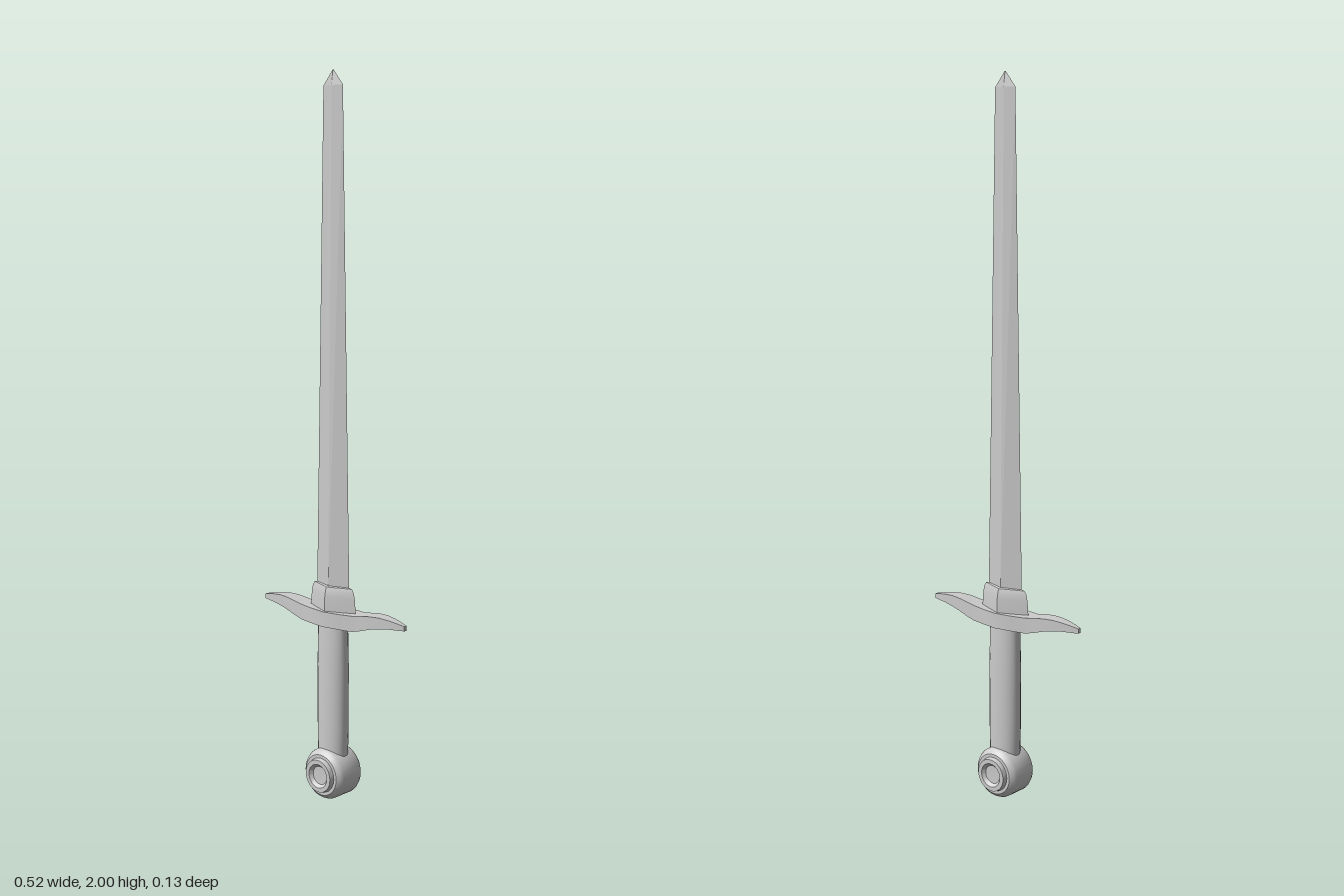
import * as THREE from 'three';
import { toCreasedNormals } from 'three/addons/utils/BufferGeometryUtils.js';

const material = new THREE.MeshStandardMaterial({ color: 0xcccccc });

// Skin a list of rings (each a loop of [x, y, z]) and close both ends.
function loft(rings, crease) {
  const n = rings[0].length, index = [];
  const points = rings.flat();
  for (let i = 0; i < rings.length - 1; i++) {
    for (let j = 0; j < n; j++) {
      const a = i * n + j, b = i * n + (j + 1) % n;
      index.push(a, b, b + n, a, b + n, a + n);
    }
  }
  const last = (rings.length - 1) * n;
  for (let j = 1; j < n - 1; j++) {
    index.push(0, j + 1, j, last, last + j, last + j + 1);
  }
  const geometry = new THREE.BufferGeometry();
  geometry.setAttribute('position', new THREE.Float32BufferAttribute(points.flat(), 3));
  geometry.setIndex(index);
  return toCreasedNormals(geometry, crease);
}

// Horizontal cross-sections with half sizes w (x) and d (z).
const diamond = (y, w, d) => [[w, y, 0], [0, y, -d], [-w, y, 0], [0, y, d]];

function ellipse(y, w, d, n = 24) {
  return Array.from({ length: n }, (_, i) => {
    const a = (i / n) * Math.PI * 2;
    return [w * Math.cos(a), y, -d * Math.sin(a)];
  });
}

export function createModel() {
  const group = new THREE.Group();
  const add = (name, geometry) => {
    const mesh = new THREE.Mesh(geometry, material);
    mesh.name = name;
    group.add(mesh);
  };

  // Tapering blade with a central ridge and a short point
  add('blade', loft([
    diamond(0.54, 0.061, 0.021),
    diamond(0.61, 0.06, 0.02),
    diamond(1.96, 0.035, 0.006),
    diamond(2.0, 0.002, 0.001),
  ], 0.1));

  // Collar at the root of the blade, rounded in at the top
  add('collar', loft([
    diamond(0.53, 0.085, 0.036),
    diamond(0.58, 0.081, 0.034),
    diamond(0.598, 0.077, 0.031),
    diamond(0.608, 0.07, 0.028),
    diamond(0.61, 0.062, 0.023),
  ], 0.45));

  // Crossguard: half stations of [x, bottom y, top y, half depth], mirrored
  const half = [
    [0, 0.498, 0.541, 0.044], [0.05, 0.498, 0.541, 0.036],
    [0.095, 0.498, 0.542, 0.027], [0.125, 0.506, 0.547, 0.0255],
    [0.155, 0.515, 0.551, 0.023], [0.185, 0.521, 0.552, 0.019],
    [0.215, 0.525, 0.549, 0.0145], [0.24, 0.526, 0.545, 0.01],
    [0.262, 0.527, 0.54, 0.005],
  ];
  const mirrored = half.slice(1).reverse().map(([x, ...rest]) => [-x, ...rest]);
  add('crossguard', loft([...mirrored, ...half].map(([x, b, t, d]) =>
    [[x, b, -d], [x, t, -d], [x, t, d], [x, b, d]]), 0.5));

  // Oval grip
  add('grip', loft([
    ellipse(0.1, 0.047, 0.034),
    ellipse(0.2, 0.05, 0.034),
    ellipse(0.38, 0.051, 0.033),
    ellipse(0.51, 0.049, 0.03),
  ], 0.6));

  // Wheel pommel: bevelled drum with a raised, dished boss on each face
  const side = [
    [0, 0.053], [0.026, 0.054], [0.034, 0.063], [0.046, 0.063],
    [0.049, 0.05], [0.058, 0.05], [0.067, 0.042], [0.072, 0.032],
  ];
  const profile = [
    ...side.map(([r, z]) => new THREE.Vector2(r, -z)),
    ...side.slice().reverse().map(([r, z]) => new THREE.Vector2(r, z)),
  ];
  const pommel = new THREE.LatheGeometry(profile, 32);
  pommel.rotateX(Math.PI / 2);
  pommel.translate(0, 0.072, 0);
  add('pommel', toCreasedNormals(pommel, 0.5));

  return group;
}
